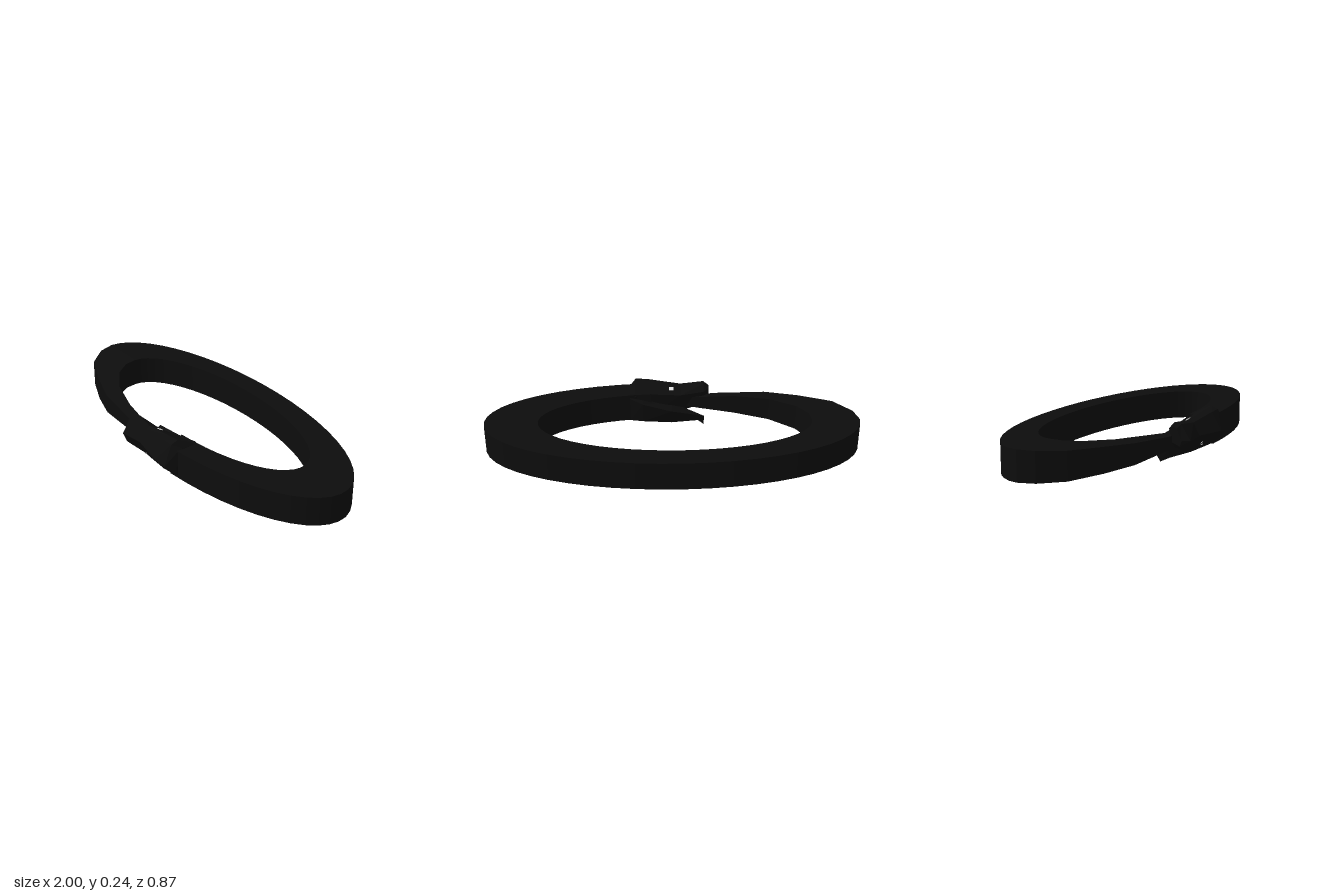
import * as THREE from 'three';

// Skins a list of cross-sections; each loop runs counter-clockwise seen from the start.
function loft(sections) {
  const pos = [], n = sections[0].length;
  const tri = (a, b, c) => pos.push(...a, ...b, ...c);
  for (let i = 0; i < sections.length - 1; i++) {
    for (let j = 0; j < n; j++) {
      const k = (j + 1) % n, s = sections[i], e = sections[i + 1];
      tri(s[j], e[j], e[k]);
      tri(s[j], e[k], s[k]);
    }
  }
  const first = sections[0], last = sections[sections.length - 1];
  for (let j = 1; j < n - 1; j++) {
    tri(first[0], first[j], first[j + 1]);
    tri(last[0], last[j + 1], last[j]);
  }
  const g = new THREE.BufferGeometry();
  g.setAttribute('position', new THREE.Float32BufferAttribute(pos, 3));
  g.computeVertexNormals();
  return g;
}

export function createModel() {
  const group = new THREE.Group();
  const black = new THREE.MeshStandardMaterial({ color: 0x0d0d0d, flatShading: true });
  black.name = 'black';
  const white = new THREE.MeshStandardMaterial({ color: 0xe8e8e8, flatShading: true });
  white.name = 'white';
  const add = (name, geometry, material = black) => {
    const mesh = new THREE.Mesh(geometry, material);
    mesh.name = name;
    group.add(mesh);
    return mesh;
  };

  // Oval body: rectangular section from the neck round the back
  const midY = 0.118;
  const ring = (ox, oz, ix, iz, h) => [
    [ox, midY - h, oz], [ox, midY + h, oz], [ix, midY + h, iz], [ix, midY - h, iz],
  ];
  const body = [];
  const steps = 36;
  for (let i = 0; i <= steps; i++) {
    const a = THREE.MathUtils.degToRad(80 - 260 * i / steps);
    const c = Math.cos(a), s = Math.sin(a);
    body.push(ring(c, -0.03 + 0.405 * s, -0.015 + 0.73 * c, -0.03 + 0.285 * s, 0.079));
  }
  // Tail: narrows until it ends inside the mouth
  body.push(
    ring(-0.975, 0.06, -0.735, 0.04, 0.077),
    ring(-0.88, 0.17, -0.68, 0.12, 0.073),
    ring(-0.70, 0.25, -0.54, 0.21, 0.065),
    ring(-0.52, 0.31, -0.35, 0.265, 0.054),
    ring(-0.25, 0.335, -0.15, 0.29, 0.035),
    ring(-0.04, 0.33, -0.02, 0.31, 0.02),
  );
  add('bodyAndTail', loft(body));

  // Head sections: x, then [z, y] corners
  const section = (x, corners) => corners.map(([z, y]) => [x, y, z]);
  add('upperHead', loft([
    section(0.23, [[0.25, 0.195], [0.33, 0.2], [0.365, 0.19], [0.372, 0.06], [0.33, 0.035], [0.25, 0.04]]),
    section(0.20, [[0.24, 0.19], [0.34, 0.24], [0.38, 0.225], [0.425, 0.11], [0.37, 0.05], [0.25, 0.04]]),
    section(0.13, [[0.26, 0.19], [0.34, 0.23], [0.38, 0.22], [0.435, 0.125], [0.38, 0.05], [0.27, 0.04]]),
    section(-0.05, [[0.28, 0.17], [0.34, 0.205], [0.37, 0.195], [0.405, 0.13], [0.38, 0.06], [0.30, 0.06]]),
    section(-0.18, [[0.30, 0.18], [0.33, 0.215], [0.37, 0.21], [0.425, 0.13], [0.40, 0.07], [0.32, 0.09]]),
    section(-0.21, [[0.33, 0.19], [0.34, 0.2], [0.36, 0.19], [0.39, 0.13], [0.38, 0.1], [0.33, 0.12]]),
  ]));

  // Lower jaw, rolled inwards with the head
  add('lowerJaw', loft([
    section(0.23, [[0.23, 0.18], [0.33, 0.18], [0.34, 0.032], [0.24, 0.036]]),
    section(0.16, [[0.20, 0.16], [0.33, 0.16], [0.34, 0.03], [0.22, 0.04]]),
    section(0.00, [[0.19, 0.12], [0.32, 0.10], [0.33, 0.025], [0.23, 0.025]]),
    section(-0.14, [[0.185, 0.10], [0.275, 0.06], [0.28, 0.015], [0.21, 0.05]]),
    section(-0.18, [[0.185, 0.095], [0.24, 0.06], [0.25, 0.0], [0.215, 0.05]]),
  ]));

  // Tiny eyes on both sides of the head
  const upperEye = add('upperEye', new THREE.BoxGeometry(0.025, 0.008, 0.02), white);
  upperEye.position.set(0, 0.195, 0.31);
  upperEye.rotation.set(-0.5, 0, 0.11);
  const lowerEye = add('lowerEye', new THREE.BoxGeometry(0.025, 0.02, 0.008), white);
  lowerEye.position.set(0, 0.08, 0.391);
  lowerEye.rotation.set(0.43, -0.08, 0);

  return group;
}
